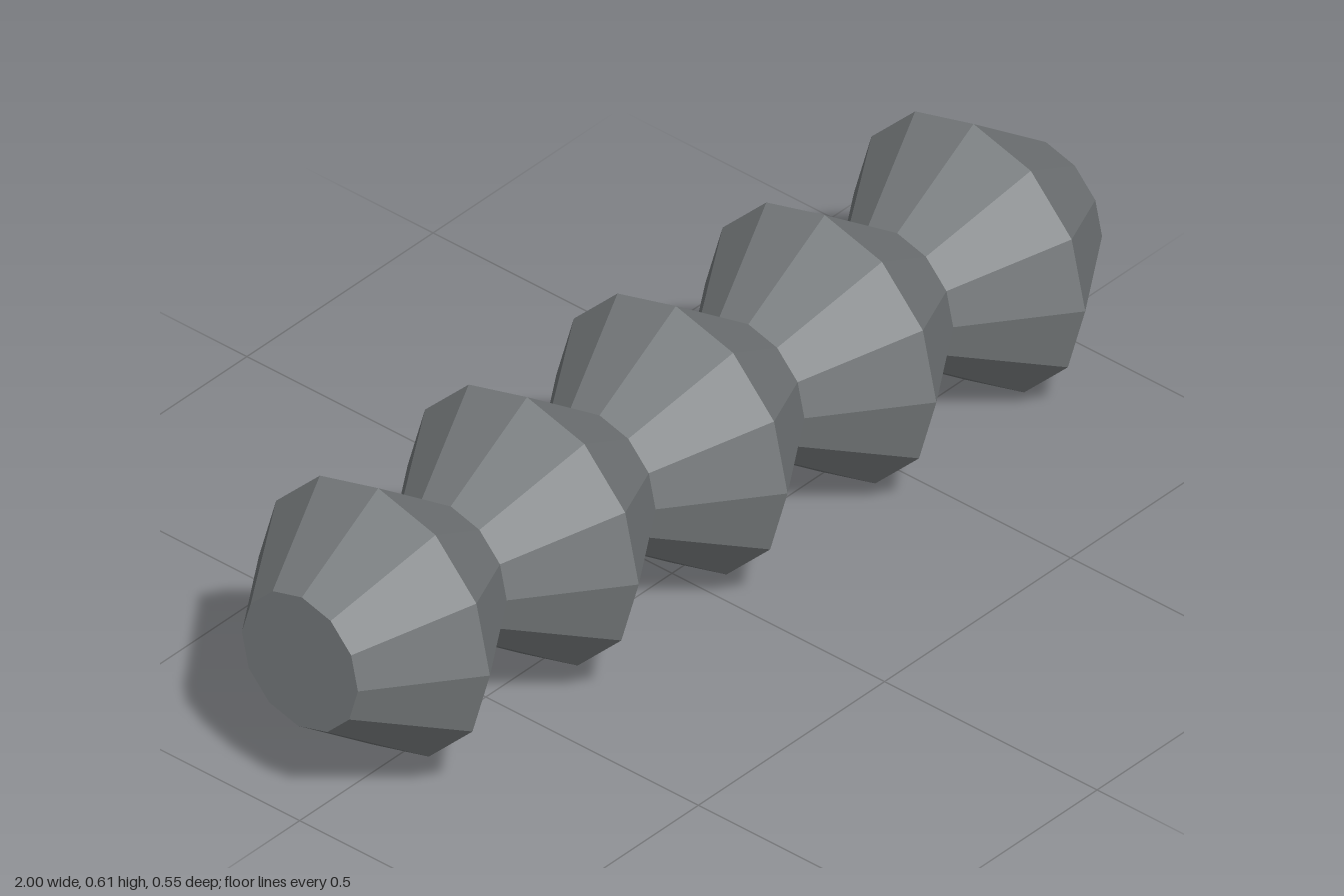
import * as THREE from 'three';

const BEADS = 5;
const SIDES = 12;
const HALF_LENGTH = 0.995;
const WAIST_RADIUS = 0.137;
const PEAK_RADIUS = 0.273;

export function createModel() {
  const group = new THREE.Group();
  group.name = 'beadedRod';

  // Profile: flat end, alternating waists and peaks, flat end
  const profile = [new THREE.Vector2(0, -HALF_LENGTH)];
  for (let i = 0; i <= BEADS * 2; i++) {
    const along = HALF_LENGTH * (i / BEADS - 1);
    profile.push(new THREE.Vector2(i % 2 ? PEAK_RADIUS : WAIST_RADIUS, along));
  }
  profile.push(new THREE.Vector2(0, HALF_LENGTH));

  // Rod lies along x, dipping slightly towards +x and +z
  const geometry = new THREE.LatheGeometry(profile, SIDES);
  geometry.rotateZ(-Math.PI / 2 - 0.038);
  geometry.rotateY(-0.0044);

  // Rest the lowest corner on the ground
  geometry.computeBoundingBox();
  geometry.translate(0, -geometry.boundingBox.min.y, 0);

  // Dark slate grey, faceted
  const material = new THREE.MeshStandardMaterial({ color: 0x75797b, flatShading: true });
  const rod = new THREE.Mesh(geometry, material);
  rod.name = 'ridgedBody';
  group.add(rod);
  return group;
}
